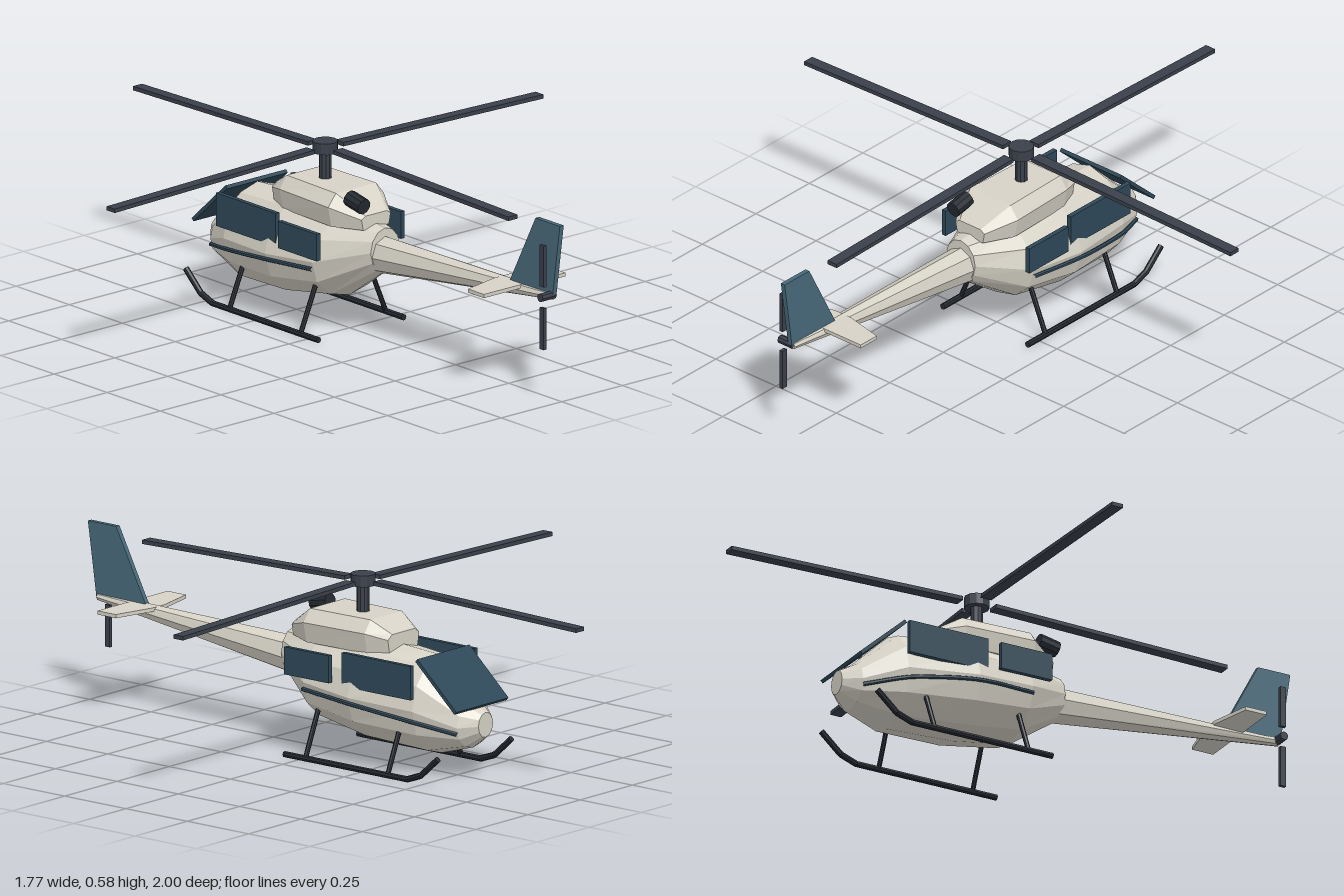
import * as THREE from 'three';

const mat = (color) => new THREE.MeshStandardMaterial({ color, flatShading: true });
const shell = mat(0xd6d2c6), glass = mat(0x2e4858), finPaint = mat(0x486a7a);
const metal = mat(0x3a3f4a), dark = mat(0x262b32);

function add(parent, name, geometry, material, x = 0, y = 0, z = 0) {
  const mesh = new THREE.Mesh(geometry, material);
  mesh.name = name;
  mesh.position.set(x, y, z);
  parent.add(mesh);
  return mesh;
}

// Skin of quads through rings ordered towards +z, each counterclockwise seen from +z
function loft(rings) {
  const n = rings[0].length, pos = rings.flat(2), idx = [];
  for (let i = 0; i < rings.length - 1; i++)
    for (let j = 0; j < n; j++) {
      const a = i * n + j, b = i * n + (j + 1) % n;
      idx.push(a, b, a + n, b, b + n, a + n);
    }
  const last = (rings.length - 1) * n;
  for (let j = 1; j < n - 1; j++) idx.push(0, j + 1, j, last, last + j, last + j + 1);
  const g = new THREE.BufferGeometry();
  g.setAttribute('position', new THREE.Float32BufferAttribute(pos, 3));
  g.setIndex(idx);
  const flat = g.toNonIndexed();
  flat.computeVertexNormals();
  return flat;
}

// Elliptical ring: z, bottom, top, half width
function oval([z, y0, y1, w], sides) {
  return Array.from({ length: sides }, (_, j) => {
    const a = (j / sides) * Math.PI * 2;
    return [w * Math.cos(a), (y0 + y1) / 2 + (y1 - y0) / 2 * Math.sin(a), z];
  });
}

// Round bar between two points
function bar(parent, name, from, to, r, material) {
  const a = new THREE.Vector3(...from), b = new THREE.Vector3(...to);
  const m = add(parent, name, new THREE.CylinderGeometry(r, r, a.distanceTo(b), 8), material);
  m.position.copy(a).lerp(b, 0.5);
  m.quaternion.setFromUnitVectors(new THREE.Vector3(0, 1, 0), b.sub(a).normalize());
}

export function createModel() {
  const heli = new THREE.Group();
  heli.name = 'helicopter';

  // Cabin and tail boom
  const cabin = [
    [-0.615, 0.14, 0.22, 0.035], [-0.565, 0.1, 0.25, 0.08], [-0.435, 0.062, 0.375, 0.14],
    [-0.2, 0.075, 0.39, 0.175], [0, 0.11, 0.385, 0.155], [0.168, 0.227, 0.368, 0.06],
  ];
  add(heli, 'cabin', loft(cabin.map((s) => oval(s, 12))), shell);
  const boom = [[0.1, 0.21, 0.34, 0.058], [0.96, 0.325, 0.35, 0.015]];
  add(heli, 'tailBoom', loft(boom.map((s) => oval(s, 8))), shell);

  // Engine cowling: z, half width, shoulder height, top
  const cowl = [
    [-0.28, 0.075, 0.41, 0.425], [-0.21, 0.105, 0.425, 0.465],
    [0.03, 0.115, 0.425, 0.465], [0.125, 0.06, 0.395, 0.405],
  ].map(([z, w, ys, yt]) => [
    [w * 0.88, 0.36, z], [w, ys, z], [w * 0.72, yt, z],
    [-w * 0.72, yt, z], [-w, ys, z], [-w * 0.88, 0.36, z],
  ]);
  add(heli, 'engineCowling', loft(cowl), shell);
  const exhaust = add(heli, 'exhaust', new THREE.CylinderGeometry(0.026, 0.026, 0.068, 10), dark, -0.06, 0.448, 0.103);
  exhaust.rotation.x = Math.PI / 2 + 0.2;

  // Windshield and side windows
  const shield = add(heli, 'windshield', new THREE.BoxGeometry(0.25, 0.012, 0.215), glass, 0, 0.309, -0.518);
  shield.rotation.x = -0.736;

  for (const s of [1, -1]) {
    add(heli, 'frontWindow', new THREE.BoxGeometry(0.016, 0.108, 0.28), glass, s * 0.153, 0.315, -0.305);
    add(heli, 'rearWindow', new THREE.BoxGeometry(0.016, 0.088, 0.182), glass, s * 0.174, 0.313, -0.039);

    // Side stripe
    const stripe = new THREE.CatmullRomCurve3([
      [0.155, 0.225, 0], [0.174, 0.215, -0.2], [0.155, 0.196, -0.36], [0.138, 0.185, -0.435], [0.078, 0.155, -0.565],
    ].map(([x, y, z]) => new THREE.Vector3(s * x, y, z)));
    add(heli, 'sideStripe', new THREE.TubeGeometry(stripe, 16, 0.007, 6), glass);

    // Landing skid with upturned toe
    const skid = [[0.055, 0.012], [-0.445, 0.012], [-0.5, 0.032], [-0.57, 0.095]];
    for (let i = 0; i < 3; i++) {
      const [p, q] = [skid[i], skid[i + 1]].map(([z, y]) => [s * 0.176, y, z]);
      bar(heli, 'skid', p, q, 0.01, dark);
    }
    for (const z of [-0.03, -0.365])
      bar(heli, 'skidStrut', [s * 0.176, 0.012, z], [s * 0.105, 0.18, z], 0.008, dark);
  }

  // Main rotor
  const rotor = new THREE.Group();
  rotor.name = 'mainRotor';
  rotor.position.set(0, 0, -0.115);
  heli.add(rotor);
  add(rotor, 'mast', new THREE.CylinderGeometry(0.02, 0.02, 0.12, 10), metal, 0, 0.5, 0);
  add(rotor, 'hub', new THREE.CylinderGeometry(0.04, 0.04, 0.036, 12), metal, 0, 0.567, 0);
  for (let i = 0; i < 4; i++) {
    const arm = new THREE.Group();
    arm.name = 'bladeArm';
    arm.rotation.y = i * Math.PI / 2;
    rotor.add(arm);
    const blade = add(arm, 'blade', new THREE.BoxGeometry(0.826, 0.013, 0.038), metal, 0.472, 0.555, 0);
    blade.rotation.z = -0.022;
  }

  // Tail fin, drawn as (z, y) and turned upright
  const fin = new THREE.Shape([[0.965, 0.335], [0.765, 0.345], [0.885, 0.575], [1, 0.575]]
    .map(([z, y]) => new THREE.Vector2(-z, y)));
  const finGeo = new THREE.ExtrudeGeometry(fin, { depth: 0.016, bevelEnabled: false });
  finGeo.translate(0, 0, -0.008).rotateY(Math.PI / 2);
  add(heli, 'tailFin', finGeo, finPaint);

  // Horizontal stabilizer, drawn as (x, z) and laid flat
  const wing = new THREE.Shape([[-0.168, 0.825], [-0.168, 0.75], [-0.03, 0.718], [0.03, 0.718], [0.168, 0.75], [0.168, 0.825]]
    .map(([x, z]) => new THREE.Vector2(x, z)));
  const wingGeo = new THREE.ExtrudeGeometry(wing, { depth: 0.012, bevelEnabled: false });
  wingGeo.rotateX(Math.PI / 2);
  add(heli, 'stabilizer', wingGeo, shell, 0, 0.345, 0);

  // Tail rotor
  bar(heli, 'tailRotorHub', [-0.05, 0.34, 0.955], [0.005, 0.34, 0.955], 0.014, metal);
  for (const s of [1, -1])
    add(heli, 'tailRotorBlade', new THREE.BoxGeometry(0.012, 0.135, 0.02), metal, -0.038, 0.34 + s * 0.102, 0.955);

  return heli;
}
